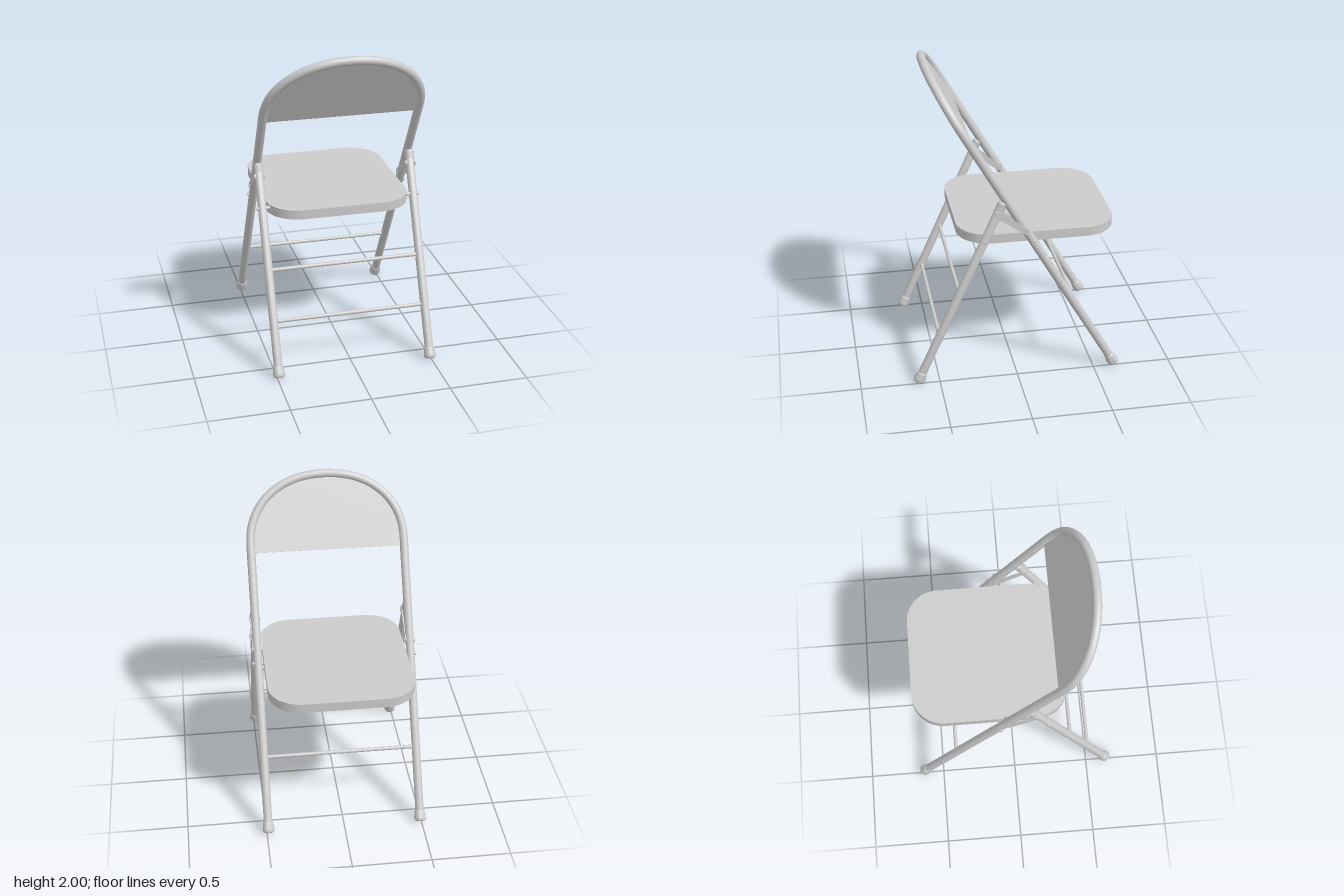
import * as THREE from 'three';
import { toCreasedNormals } from 'three/addons/utils/BufferGeometryUtils.js';

const mat = new THREE.MeshStandardMaterial({ color: 0xcccccc });
const R = 0.027;      // main tube radius
const LEG_X = 0.49;   // side tube position
const SIDES = [['left', 1], ['right', -1]];

function add(parent, name, geometry, x = 0, y = 0, z = 0) {
  const mesh = new THREE.Mesh(geometry, mat);
  mesh.name = name;
  mesh.position.set(x, y, z);
  parent.add(mesh);
  return mesh;
}

// Bar or pin running along x
function rod(parent, name, radius, length, x, y, z) {
  const g = new THREE.CylinderGeometry(radius, radius, length, 16).rotateZ(Math.PI / 2);
  return add(parent, name, g, x, y, z);
}

// Rubber foot, standing on its own origin and pointing up the leg
function foot(parent, name, x) {
  const profile = [[0, 0], [0.026, 0], [0.033, 0.004], [0.037, 0.013], [0.037, 0.026],
    [0.032, 0.058], [0.031, 0.068], [0.027, 0.072]].map(p => new THREE.Vector2(...p));
  add(parent, name, toCreasedNormals(new THREE.LatheGeometry(profile, 28), 0.7), x);
}

// Rounded rectangle centred on the origin, optionally inset
function roundedRect(Shape, inset) {
  const w = 0.455 - inset, h = 0.4975 - inset, r = 0.205 - inset;
  const s = new Shape();
  s.moveTo(w, -h + r);
  s.lineTo(w, h - r);
  s.absarc(w - r, h - r, r, 0, Math.PI / 2);
  s.absarc(-w + r, h - r, r, Math.PI / 2, Math.PI);
  s.absarc(-w + r, -h + r, r, Math.PI, Math.PI * 1.5);
  s.absarc(w - r, -h + r, r, Math.PI * 1.5, Math.PI * 2);
  return s;
}

// Seat layer extruded downwards; holeInset turns it into a ring
function seatLayer(parent, name, top, depth, holeInset) {
  const shape = roundedRect(THREE.Shape, 0);
  if (holeInset) shape.holes.push(roundedRect(THREE.Path, holeInset));
  const g = new THREE.ExtrudeGeometry(shape, { depth, bevelEnabled: false, curveSegments: 6 });
  g.rotateX(Math.PI / 2);
  add(parent, name, toCreasedNormals(g, 0.6), 0, top, -0.147);
}

// Back frame: both rear legs and the arch are one bent tube, built upright then tilted
function buildBackFrame() {
  const frame = new THREE.Group();
  frame.name = 'backFrame';
  frame.position.set(0, 0.018, -0.637);
  frame.rotation.x = 0.527;

  const archBase = 1.83, archHeight = 0.432, n = 28;
  const arch = [];
  for (let i = 0; i <= n; i++) {
    const a = Math.PI * i / n, c = Math.cos(a), e = 2 / 2.15;
    arch.push(new THREE.Vector2(LEG_X * Math.sign(c) * Math.abs(c) ** e,
      archBase + archHeight * Math.max(0, Math.sin(a)) ** e));
  }
  const leg = [0.02, 0.6, 1.2, 1.7];
  const path = [
    ...leg.map(y => new THREE.Vector3(LEG_X, y, 0)),
    ...arch.map(p => new THREE.Vector3(p.x, p.y, 0)),
    ...leg.reverse().map(y => new THREE.Vector3(-LEG_X, y, 0)),
  ];
  add(frame, 'backTube', new THREE.TubeGeometry(new THREE.CatmullRomCurve3(path), 160, R, 20));

  // Flat backrest sheet filling the arch
  const sheet = new THREE.Shape([new THREE.Vector2(-LEG_X, 1.779),
    new THREE.Vector2(LEG_X, 1.779), ...arch]);
  add(frame, 'backrest', new THREE.ExtrudeGeometry(sheet, { depth: 0.008, bevelEnabled: false }), 0, 0, -0.004);

  for (const [side, s] of SIDES) foot(frame, side + 'RearFoot', s * LEG_X);
  rod(frame, 'rearCrossbar', 0.012, 0.96, 0, 0.483, 0);
  return frame;
}

// Front legs with their crossbars, built upright then tilted
function buildFrontFrame() {
  const frame = new THREE.Group();
  frame.name = 'frontFrame';
  frame.position.set(0, 0.014, 0.637);
  frame.rotation.x = -0.4226;
  const profile = [[R, 0.02], [R, 1.318], [0.024, 1.328], [0.015, 1.334], [0, 1.336]]
    .map(p => new THREE.Vector2(...p));
  for (const [side, s] of SIDES) {
    add(frame, side + 'FrontLeg', toCreasedNormals(new THREE.LatheGeometry(profile, 24), 0.7), s * LEG_X);
    add(frame, side + 'LegCollar', new THREE.CylinderGeometry(0.029, 0.029, 0.045, 24), s * LEG_X, 1.3);
    foot(frame, side + 'FrontFoot', s * LEG_X);
  }
  rod(frame, 'lowerCrossbar', 0.012, 0.96, 0, 0.347, 0);
  rod(frame, 'upperCrossbar', 0.012, 0.96, 0, 0.665, 0);
  return frame;
}

// Round-ended link plate lying in the side plane, from (y, z) a to b
function linkPlate(a, b, r, thickness) {
  const dy = b[0] - a[0], dz = b[1] - a[1], len = Math.hypot(dy, dz);
  const s = new THREE.Shape();
  s.absarc(len, 0, r, -Math.PI / 2, Math.PI / 2);
  s.absarc(0, 0, r, Math.PI / 2, Math.PI * 1.5);
  s.closePath();
  const g = new THREE.ExtrudeGeometry(s, { depth: thickness, bevelEnabled: false, curveSegments: 10 });
  g.translate(0, 0, -thickness / 2).rotateZ(Math.atan2(dy, -dz)).rotateY(Math.PI / 2);
  return toCreasedNormals(g, 0.6).translate(0, a[0], a[1]);
}

export function createModel() {
  const chair = new THREE.Group();
  chair.name = 'foldingChair';
  chair.add(buildBackFrame(), buildFrontFrame());

  // Seat pan, hollow underneath with a folded lip
  const seat = new THREE.Group();
  seat.name = 'seat';
  seatLayer(seat, 'seatTop', 0.995, 0.008);
  seatLayer(seat, 'seatWall', 0.987, 0.046, 0.008);
  seatLayer(seat, 'seatLip', 0.941, 0.006, 0.026);
  chair.add(seat);

  // Folding links and pivot pins on each side
  const front = [1.155, 0.128], rear = [1.03, -0.048];
  for (const [side, s] of SIDES) {
    const hinge = new THREE.Group();
    hinge.name = side + 'Hinge';
    for (const off of [-R, R])
      add(hinge, 'link', linkPlate(front, rear, 0.02, 0.007), s * (LEG_X + off));
    for (const [y, z] of [front, rear])
      rod(hinge, 'linkPin', 0.012, 0.07, s * LEG_X, y, z);
    for (const [y, z] of [[0.975, 0.209], [0.953, -0.094]])
      rod(hinge, 'seatPin', 0.012, 0.084, s * 0.484, y, z);
    chair.add(hinge);
  }
  return chair;
}
